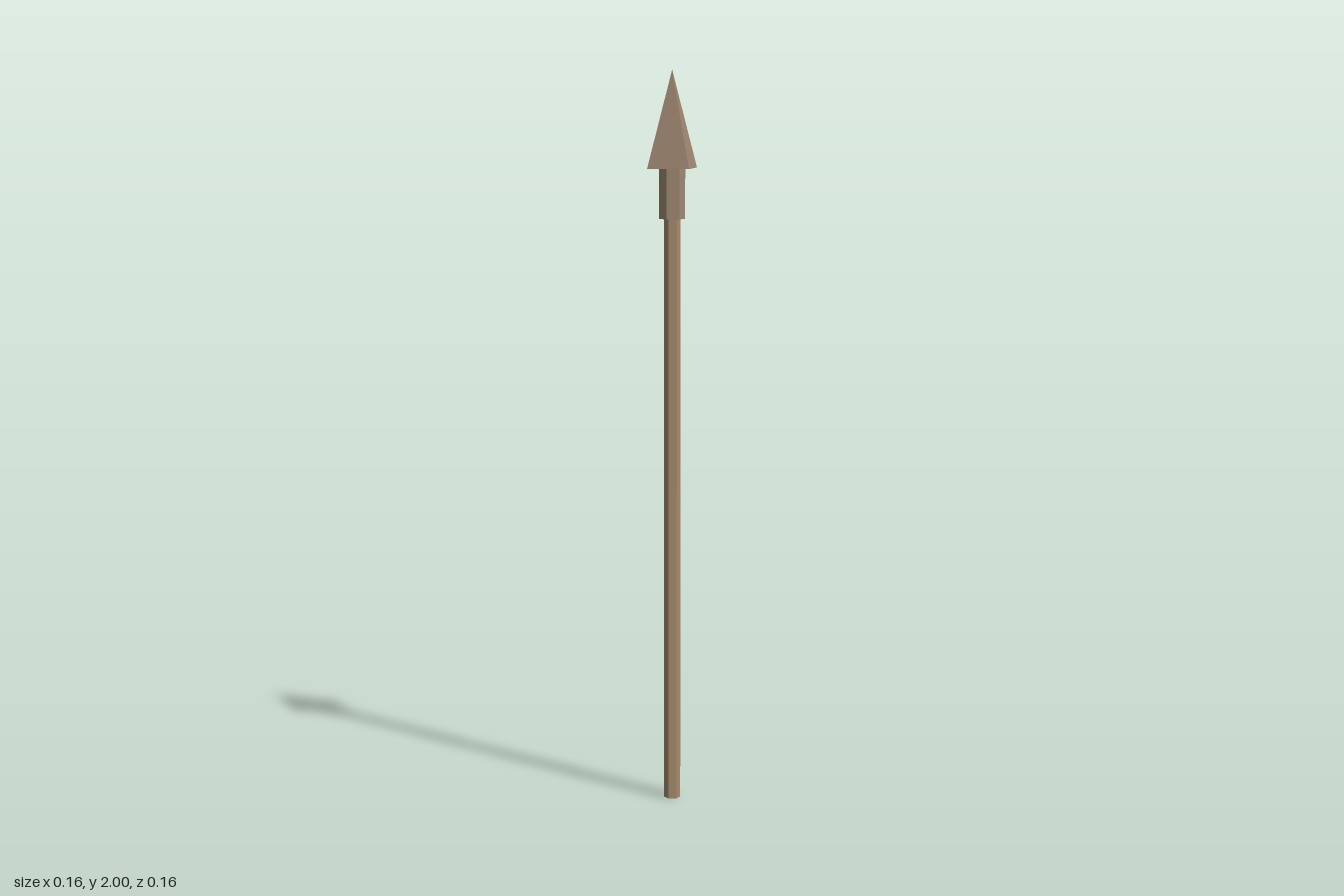
import * as THREE from 'three';

export function createModel() {
  const spear = new THREE.Group();
  spear.name = 'spear';

  // Adds a faceted, capped part spanning bottom..top
  function addPart(name, color, radiusTop, radiusBottom, bottom, top, sides) {
    const geometry = radiusTop === 0
      ? new THREE.ConeGeometry(radiusBottom, top - bottom, sides)
      : new THREE.CylinderGeometry(radiusTop, radiusBottom, top - bottom, sides);
    const material = new THREE.MeshStandardMaterial({ color, flatShading: true });
    const mesh = new THREE.Mesh(geometry, material);
    mesh.name = name;
    mesh.position.y = (bottom + top) / 2;
    spear.add(mesh);
  }

  // Hexagonal shaft, running up into the collar
  addPart('shaft', 0xa68c6c, 0.0225, 0.0225, 0, 1.62, 6);
  // Hexagonal collar that holds the head
  addPart('collar', 0xa08872, 0.035, 0.035, 1.605, 1.74, 6);
  // Four-sided pyramid head, corners on the x and z axes
  addPart('spearHead', 0xa08872, 0, 0.08, 1.74, 2, 4);

  return spear;
}
